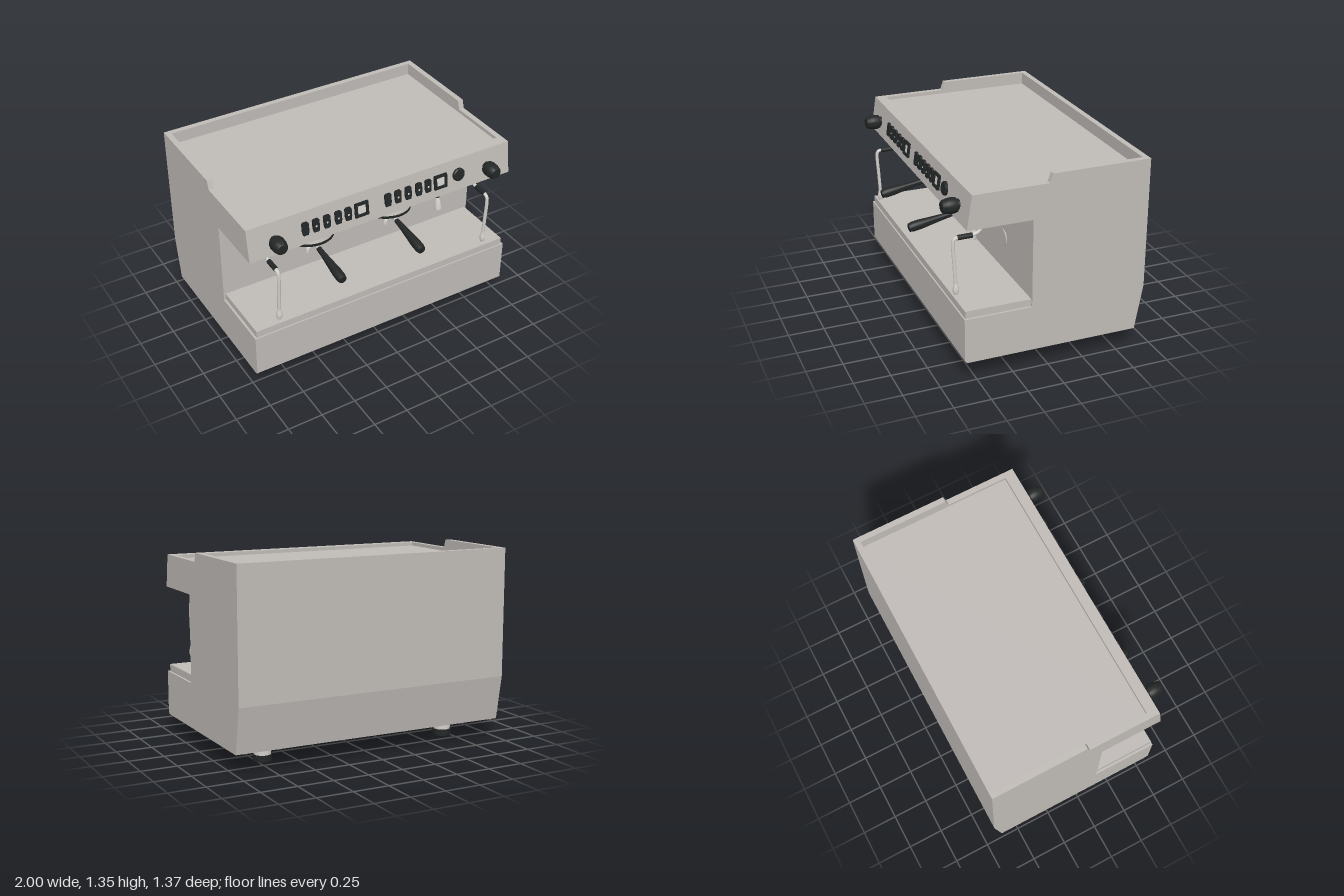
import * as THREE from 'three';
import { toCreasedNormals } from 'three/addons/utils/BufferGeometryUtils.js';

const material = (name, color) => {
  const m = new THREE.MeshStandardMaterial({ color });
  m.name = name;
  return m;
};

export function createModel() {
  const steel = material('brushed steel', 0xbfbab6);
  const chrome = material('chrome', 0xd2cfca);
  const black = material('black plastic', 0x232626);
  const root = new THREE.Group();
  root.name = 'espressoMachine';

  const add = (parent, name, geo, mat, x = 0, y = 0, z = 0) => {
    const mesh = new THREE.Mesh(geo, mat);
    mesh.name = name;
    mesh.position.set(x, y, z);
    parent.add(mesh);
    return mesh;
  };
  const group = (parent, name, x = 0, y = 0, z = 0) => {
    const g = new THREE.Group();
    g.name = name;
    g.position.set(x, y, z);
    parent.add(g);
    return g;
  };
  // Turned part: profile of [radius, distance] pairs along the direction dir
  const turned = (parent, name, pts, mat, pos, dir = [0, 1, 0]) => {
    const lathe = new THREE.LatheGeometry(pts.map(p => new THREE.Vector2(...p)), 32);
    const mesh = add(parent, name, toCreasedNormals(lathe, 0.6), mat, ...pos);
    mesh.quaternion.setFromUnitVectors(new THREE.Vector3(0, 1, 0), new THREE.Vector3(...dir).normalize());
    return mesh;
  };
  const rod = (parent, name, pts, r, mat) => {
    const curve = new THREE.CatmullRomCurve3(pts.map(p => new THREE.Vector3(...p)), false, 'centripetal');
    return add(parent, name, new THREE.TubeGeometry(curve, 40, r, 12), mat);
  };
  // Side profile of [z, y] pairs, extruded across x
  const slab = (name, pts, x0, x1) => {
    const shape = new THREE.Shape(pts.map(([z, y]) => new THREE.Vector2(-z, y)));
    const geo = new THREE.ExtrudeGeometry(shape, { depth: x1 - x0, bevelEnabled: false });
    add(root, name, geo.rotateY(Math.PI / 2), steel, x0);
  };

  // Housing: centre section with a sunken top, closed by two cheeks
  const lower = [[0.525, 1.29], [0.56, 1.06], [0.12, 1.06], [0.12, 0.45], [0.58, 0.45], [0.58, 0.15],
    [0.565, 0.135], [-0.63, 0.135], [-0.685, 0.45], [-0.685, 1.35]];
  slab('housing', [...lower, [-0.645, 1.35], [-0.645, 1.265], [0.45, 1.265], [0.45, 1.29]], -0.96, 0.96);
  const cheek = [...lower, [-0.008, 1.35], [0.012, 1.29]];
  slab('rightCheek', cheek, -1, -0.96);
  slab('leftCheek', cheek, 0.96, 1);
  add(root, 'dripTray', new THREE.BoxGeometry(1.97, 0.05, 0.45), steel, 0, 0.475, 0.345);

  // Feet
  for (const x of [-0.705, 0.705]) for (const z of [0.353, -0.385]) {
    const foot = group(root, 'foot', x, 0, z);
    add(foot, 'footLeg', new THREE.CylinderGeometry(0.058, 0.058, 0.1, 32), chrome, 0, 0.09);
    add(foot, 'footPad', new THREE.CylinderGeometry(0.063, 0.063, 0.045, 32), black, 0, 0.0225);
  }

  // Sloping control panel
  const panel = group(root, 'controlPanel', 0, 1.17, 0.543);
  panel.rotation.x = -0.151;
  const outline = [[-0.018, -0.046], [0.018, -0.046], [0.024, -0.02], [0.024, 0.036], [0.016, 0.046],
    [-0.016, 0.046], [-0.024, 0.036], [-0.024, -0.02]];
  const buttonGeo = new THREE.ExtrudeGeometry(new THREE.Shape(outline.map(p => new THREE.Vector2(...p))),
    { depth: 0.014, bevelEnabled: false });
  const frame = new THREE.Shape();
  frame.moveTo(-0.05, -0.05).lineTo(0.05, -0.05).lineTo(0.05, 0.05).lineTo(-0.05, 0.05);
  const hole = new THREE.Path();
  hole.moveTo(-0.032, -0.032).lineTo(-0.032, 0.032).lineTo(0.032, 0.032).lineTo(0.032, -0.032);
  frame.holes.push(hole);
  const frameGeo = new THREE.ExtrudeGeometry(frame, { depth: 0.016, bevelEnabled: false });
  for (const x0 of [-0.4, 0.215]) {
    [-0.197, -0.12, -0.04, 0.043, 0.117].forEach((dx, i) => {
      add(panel, 'button', buttonGeo, black, x0 + dx, 0, 0);
      if (i) add(panel, 'buttonMark', new THREE.CircleGeometry(0.008, 6), chrome, x0 + dx, -0.005, 0.0145);
    });
    add(panel, 'displayFrame', frameGeo, black, x0 + 0.217, 0, 0);
    add(panel, 'display', new THREE.BoxGeometry(0.064, 0.064, 0.006), chrome, x0 + 0.217, 0, 0.003);
  }
  turned(panel, 'waterButton', [[0.046, 0], [0.046, 0.012], [0.038, 0.02], [0, 0.02]], black, [0.58, 0.005, 0], [0, 0, 1]);

  // Steam knobs and wands
  for (const x of [-0.815, 0.815]) {
    turned(root, 'steamKnob', [[0.035, -0.01], [0.035, 0.015], [0.046, 0.016], [0.052, 0.04], [0.05, 0.075],
      [0.042, 0.105], [0.034, 0.115], [0, 0.117]], black, [x, 1.16, 0.542], [0, 0, 1]);
    const wand = group(root, 'steamWand', x);
    turned(wand, 'wandFerrule', [[0, 0], [0.02, 0], [0.025, 0.015]], chrome, [0, 1.045, 0.388]);
    rod(wand, 'wandPipe', [[0, 1.06, 0.388], [0, 0.99, 0.388], [0, 0.955, 0.41], [0, 0.938, 0.45], [0, 0.936, 0.55],
      [0, 0.925, 0.578], [0, 0.89, 0.584], [0, 0.75, 0.577], [0, 0.59, 0.569]], 0.012, chrome);
    rod(wand, 'wandGrip', [[0, 0.936, 0.455], [0, 0.935, 0.557]], 0.017, black);
    turned(wand, 'wandTip', [[0, 0], [0.014, 0.002], [0.021, 0.025], [0.02, 0.045], [0.012, 0.08]], chrome, [0, 0.54, 0.569]);
  }

  // Hot water outlet
  const outlet = group(root, 'hotWaterOutlet', 0.565);
  turned(outlet, 'outletFerrule', [[0, 0], [0.018, 0], [0.023, 0.02]], chrome, [0, 1.04, 0.315]);
  rod(outlet, 'outletPipe', [[0, 1.06, 0.315], [0, 0.98, 0.325], [0, 0.86, 0.347]], 0.011, chrome);
  rod(outlet, 'outletGrip', [[0, 0.99, 0.324], [0, 0.875, 0.345]], 0.017, black);
  turned(outlet, 'outletNozzle', [[0, 0], [0.024, 0], [0.027, 0.02], [0.018, 0.075], [0.013, 0.095], [0, 0.095]],
    chrome, [0, 0.782, 0.36], [0, 1, -0.14]);
  turned(root, 'wallDisc', [[0.06, 0], [0.06, 0.007], [0, 0.007]], steel, [0.52, 0.73, 0.12], [0, 0, 1]);

  // Brewing groups with filter holders
  for (const x of [-0.4, 0.215]) {
    const brew = group(root, 'brewGroup', x, 0, 0.238);
    add(brew, 'groupMount', new THREE.BoxGeometry(0.27, 0.04, 0.1), black, 0, 1.04, -0.07);
    turned(brew, 'groupCap', [[0, 0.96], [0.167, 0.96], [0.166, 0.985], [0.155, 1.015], [0.135, 1.035],
      [0.08, 1.05], [0, 1.055]], black, [0, 0, 0]);
    turned(brew, 'groupBody', [[0, 0.868], [0.164, 0.868], [0.165, 0.962]], chrome, [0, 0, 0]);
    const ring = add(brew, 'groupRing', new THREE.CylinderGeometry(0.17, 0.168, 0.018, 40), black, 0, 0.868, 0);
    ring.rotation.x = -0.09;
    turned(brew, 'filterHolder', [[0, 0.805], [0.04, 0.806], [0.062, 0.82], [0.072, 0.845], [0.075, 0.87]],
      chrome, [0, 0, 0.02]);
    // Twin spout
    rod(brew, 'spout', [[-0.042, 0.755, 0.05], [-0.036, 0.782, 0.05], [0, 0.797, 0.045], [0.036, 0.782, 0.05],
      [0.042, 0.755, 0.05]], 0.013, chrome).material = chrome;
    rod(brew, 'spoutStem', [[0, 0.82, 0.03], [0, 0.785, 0.045]], 0.018, chrome);
    // Handle
    rod(brew, 'handleNeck', [[0, 0.835, 0.06], [0, 0.815, 0.15]], 0.016, chrome);
    turned(brew, 'handle', [[0, 0], [0.018, 0], [0.02, 0.06], [0.026, 0.14], [0.034, 0.24], [0.034, 0.29],
      [0.028, 0.315], [0, 0.322]], black, [0, 0.818, 0.13], [0, -0.17, 1]);
  }
  return root;
}
